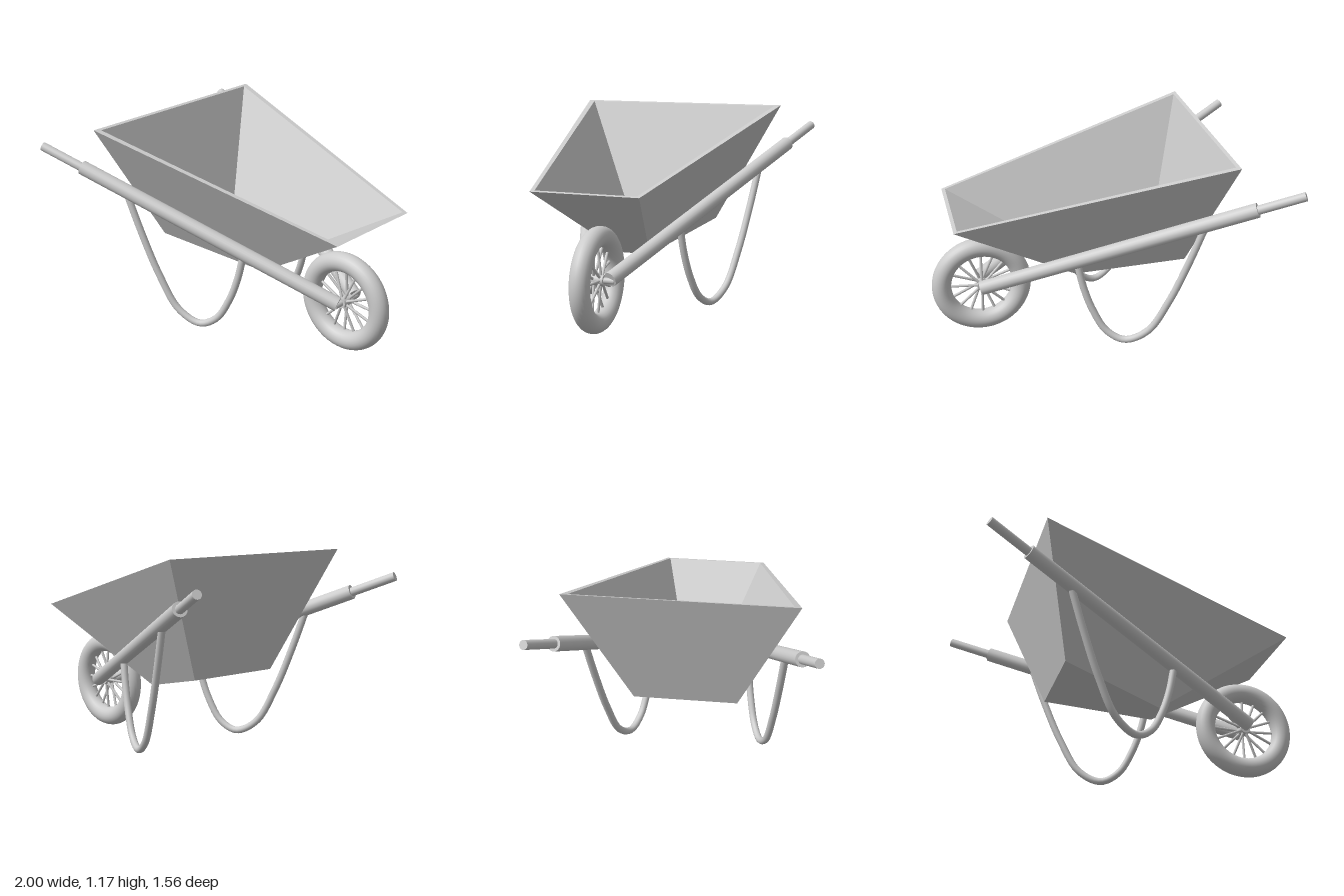
import * as THREE from 'three';

const mat = new THREE.MeshStandardMaterial({ color: 0xcccccc });
const V = (x, y, z) => new THREE.Vector3(x, y, z);

function add(parent, name, geometry) {
  const mesh = new THREE.Mesh(geometry, mat);
  mesh.name = name;
  parent.add(mesh);
  return mesh;
}

// Round bar between two points
function bar(parent, name, a, b, radius, sides = 20) {
  const dir = b.clone().sub(a);
  const mesh = add(parent, name, new THREE.CylinderGeometry(radius, radius, dir.length(), sides));
  mesh.position.copy(a).lerp(b, 0.5);
  mesh.quaternion.setFromUnitVectors(V(0, 1, 0), dir.normalize());
  return mesh;
}

// Four corners of a trapezoid ring, [x, y, halfWidth] at the rear and at the nose
function ring([x0, y0, w0], [x1, y1, w1]) {
  return [V(x0, y0, w0), V(x1, y1, w1), V(x1, y1, -w1), V(x0, y0, -w0)];
}

// Thick-walled tapered tray; each panel has one normal so it shades evenly
function trayGeometry() {
  const outerFloor = ring([-0.455, 0.475, 0.295], [0.155, 0.342, 0.09]);
  const outerRim = ring([-0.65, 1.17, 0.645], [0.882, 0.79, 0.315]);
  const innerRim = ring([-0.63, 1.165, 0.605], [0.862, 0.795, 0.295]);
  const innerFloor = ring([-0.425, 0.495, 0.28], [0.14, 0.37, 0.075]);
  const points = [];
  const normals = [];
  function panel(a, b, c, d) {
    const n = c.clone().sub(a).cross(d.clone().sub(b)).normalize();
    points.push(a, b, c, a, c, d);
    for (let k = 0; k < 6; k++) normals.push(n.x, n.y, n.z);
  }
  for (let i = 0; i < 4; i++) {
    const j = (i + 1) % 4;
    // outer and inner panels split along the same diagonal, so the wall keeps its thickness
    panel(outerFloor[j], outerRim[j], outerRim[i], outerFloor[i]);
    panel(outerRim[i], outerRim[j], innerRim[j], innerRim[i]);
    panel(innerRim[i], innerRim[j], innerFloor[j], innerFloor[i]);
  }
  panel(...innerFloor);
  panel(...outerFloor.reverse());
  const g = new THREE.BufferGeometry().setFromPoints(points);
  g.setAttribute('normal', new THREE.Float32BufferAttribute(normals, 3));
  return g;
}

// The handles run along one straight line; x gives the point on it
const onHandle = (x, side) => V(x, 0.31 + (0.7 - x) * 0.424, side * (0.08 + (0.7 - x) * 0.402));

export function createModel() {
  const model = new THREE.Group();
  model.name = 'wheelbarrow';
  add(model, 'tray', trayGeometry());

  // Handles, grips and curved legs on both sides
  const legProfile = [
    [-0.49, 0.81], [-0.41, 0.57], [-0.31, 0.31], [-0.2, 0.105], [-0.075, 0.034],
    [0.025, 0.085], [0.1, 0.215], [0.15, 0.36], [0.185, 0.525],
  ];
  for (const side of [1, -1]) {
    const frame = new THREE.Group();
    frame.name = side > 0 ? 'frontFrame' : 'backFrame';
    model.add(frame);
    bar(frame, 'handle', onHandle(0.71, side), onHandle(-0.75, side), 0.042);
    bar(frame, 'grip', onHandle(-0.74, side), onHandle(-0.985, side), 0.026);
    const path = new THREE.CatmullRomCurve3(legProfile.map(([x, y]) => V(x, y, onHandle(x, side).z)));
    add(frame, 'leg', new THREE.TubeGeometry(path, 60, 0.021, 14));
  }

  // Wheel: tyre, hub, axle and spokes
  const wheel = new THREE.Group();
  wheel.name = 'wheel';
  wheel.position.set(0.704, 0.297, 0);
  model.add(wheel);
  add(wheel, 'tyre', new THREE.TorusGeometry(0.238, 0.057, 24, 64));
  bar(wheel, 'axle', V(0, 0, -0.1), V(0, 0, 0.1), 0.018);
  bar(wheel, 'hub', V(0, 0, -0.04), V(0, 0, 0.04), 0.03);
  const spokes = 16;
  for (let i = 0; i < spokes; i++) {
    const a = (i / spokes) * Math.PI * 2;
    const z = i % 2 ? 0.02 : -0.02;
    bar(wheel, 'spoke', V(Math.cos(a) * 0.02, Math.sin(a) * 0.02, z),
      V(Math.cos(a) * 0.2, Math.sin(a) * 0.2, 0), 0.008, 8);
  }
  return model;
}
